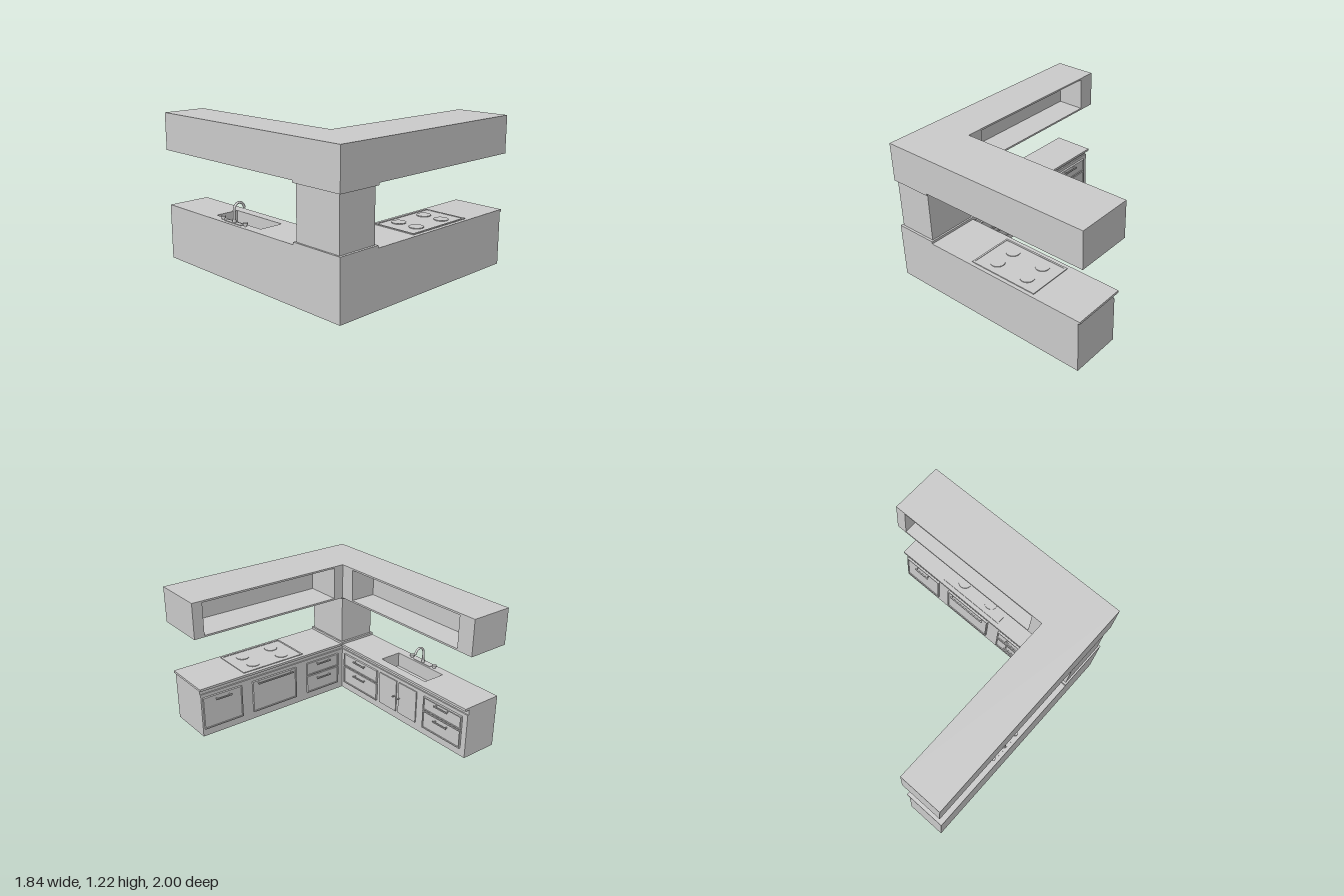
import * as THREE from 'three';

const mat = new THREE.MeshStandardMaterial({ color: 0xcccccc, side: THREE.DoubleSide });

function add(parent, name, geometry, x = 0, y = 0, z = 0) {
  const m = new THREE.Mesh(geometry, mat);
  m.name = name;
  m.position.set(x, y, z);
  parent.add(m);
  return m;
}

// Box given by its limits on each axis
function box(parent, name, x0, x1, y0, y1, z0, z1) {
  return add(parent, name, new THREE.BoxGeometry(x1 - x0, y1 - y0, z1 - z0),
    (x0 + x1) / 2, (y0 + y1) / 2, (z0 + z1) / 2);
}

function rectPath(x0, x1, y0, y1) {
  return new THREE.Path([[x0, y0], [x1, y0], [x1, y1], [x0, y1]].map(p => new THREE.Vector2(...p)));
}

// Upright slab from a floor plan of [x, z] points, with an optional [x0, x1, z0, z1] hole
function slab(parent, name, plan, y0, y1, hole) {
  const s = new THREE.Shape(plan.map(([x, z]) => new THREE.Vector2(x, -z)));
  if (hole) s.holes.push(rectPath(hole[0], hole[1], -hole[3], -hole[2]));
  const g = new THREE.ExtrudeGeometry(s, { depth: y1 - y0, bevelEnabled: false });
  g.rotateX(-Math.PI / 2);
  return add(parent, name, g, 0, y0, 0);
}

// L-shaped plan: end of the front arm, inner edges, end of the side arm
const ell = (xe, zi, xi, ze) => [[-0.92, 1], [xe, 1], [xe, zi], [xi, zi], [xi, ze], [-0.92, ze]];

// Flat rectangular frame facing local +z
function frame(parent, name, u0, u1, y0, y1, w, z, depth) {
  const s = new THREE.Shape(rectPath(u0, u1, y0, y1).getPoints());
  s.holes.push(rectPath(u0 + w, u1 - w, y0 + w, y1 - w));
  add(parent, name, new THREE.ExtrudeGeometry(s, { depth, bevelEnabled: false }), 0, 0, z);
}

// Bar handle on two posts
function handle(parent, u0, u1, y) {
  box(parent, 'handleBar', u0, u1, y - 0.005, y + 0.005, 0.03, 0.04);
  for (const u of [u0 + 0.012, u1 - 0.012])
    box(parent, 'handlePost', u - 0.004, u + 0.004, y - 0.004, y + 0.004, 0, 0.032);
}

// Framed front with a handle near its top
function framedFront(parent, name, u0, u1, y0, y1, handleY, handleLen) {
  box(parent, name, u0, u1, y0, y1, -0.005, 0.01);
  frame(parent, name + 'Frame', u0, u1, y0, y1, 0.01, 0, 0.018);
  const c = (u0 + u1) / 2;
  handle(parent, c - handleLen / 2, c + handleLen / 2, handleY);
}

function drawerPair(parent, u0, u1) {
  framedFront(parent, 'upperDrawer', u0, u1, 0.24, 0.36, 0.335, 0.15);
  framedFront(parent, 'lowerDrawer', u0, u1, 0.07, 0.232, 0.193, 0.15);
}

export function createModel() {
  const model = new THREE.Group();
  model.name = 'cornerKitchen';

  // Base cabinet and worktop, open above the sink basin
  const sink = [-0.84, -0.64, -0.45, 0.09];
  const body = ell(0.885, 0.58, -0.59, -0.98);
  slab(model, 'baseCabinet', body, 0, 0.33);
  slab(model, 'baseCabinetTop', body, 0.33, 0.39, sink);
  slab(model, 'recessedStrip', ell(0.885, 0.592, -0.602, -0.98), 0.39, 0.435, sink);
  slab(model, 'worktop', ell(0.9, 0.555, -0.56, -0.98), 0.435, 0.455, sink);

  // Corner column between plinth and cap
  box(model, 'columnPlinth', -0.92, -0.555, 0.45, 0.475, 0.54, 1);
  box(model, 'column', -0.905, -0.57, 0.475, 0.895, 0.56, 0.98);
  box(model, 'columnCap', -0.92, -0.555, 0.893, 0.912, 0.54, 1);

  // Overhead cabinet with an open niche in each arm
  const top = ell(0.92, 0.535, -0.553, -1);
  const niched = [
    [-0.92, 1], [0.92, 1], [0.92, 0.535],
    [0.83, 0.535], [0.83, 0.85], [-0.46, 0.85], [-0.46, 0.535],
    [-0.553, 0.535],
    [-0.553, 0.4], [-0.79, 0.4], [-0.79, -0.85], [-0.553, -0.85],
    [-0.553, -1], [-0.92, -1],
  ];
  slab(model, 'overheadFloor', top, 0.91, 0.925);
  slab(model, 'overheadWalls', niched, 0.925, 1.2);
  slab(model, 'overheadTop', top, 1.2, 1.215);

  // Fronts of the side arm, facing +x (local u = -z)
  const side = new THREE.Group();
  side.name = 'sideFronts';
  side.position.x = -0.59;
  side.rotation.y = Math.PI / 2;
  drawerPair(side, -0.535, -0.08);
  drawerPair(side, 0.505, 0.93);
  for (const [u0, u1, knob] of [[-0.045, 0.17, 0.155], [0.2, 0.415, 0.215]]) {
    box(side, 'cupboardDoor', u0, u1, 0.07, 0.36, -0.005, 0.01);
    const k = add(side, 'doorKnob', new THREE.CylinderGeometry(0.006, 0.006, 0.03, 12), knob, 0.215, 0.025);
    k.rotation.x = Math.PI / 2;
  }
  model.add(side);

  // Fronts of the front arm, facing -z (local u = -x)
  const back = new THREE.Group();
  back.name = 'rearFronts';
  back.position.z = 0.58;
  back.rotation.y = Math.PI;
  drawerPair(back, 0.18, 0.53);
  framedFront(back, 'ovenDoor', -0.39, 0.06, 0.07, 0.36, 0.338, 0.36);
  framedFront(back, 'dishwasherDoor', -0.87, -0.5, 0.07, 0.36, 0.325, 0.15);
  model.add(back);

  // Hob with four round plates
  const hob = new THREE.Group();
  hob.name = 'hob';
  box(hob, 'hobPlate', -0.15, 0.46, 0.45, 0.459, 0.59, 0.97);
  const rim = new THREE.Group();
  rim.name = 'hobRim';
  rim.rotation.x = -Math.PI / 2;
  frame(rim, 'rim', -0.15, 0.46, -0.97, -0.59, 0.015, 0.455, 0.007);
  hob.add(rim);
  for (const x of [0.01, 0.305])
    for (const z of [0.69, 0.86])
      add(hob, 'burner', new THREE.CylinderGeometry(0.056, 0.056, 0.008, 32), x, 0.461, z);
  model.add(hob);

  // Tap with curved spout and two knobs
  const tap = new THREE.Group();
  tap.name = 'tap';
  tap.position.set(-0.875, 0.455, -0.18);
  box(tap, 'tapPlate', -0.018, 0.018, 0, 0.005, -0.1, 0.1);
  const spout = new THREE.CatmullRomCurve3([
    [0, 0, 0], [0, 0.07, 0], [0.005, 0.12, 0], [0.035, 0.149, 0],
    [0.075, 0.142, 0], [0.1, 0.105, 0],
  ].map(p => new THREE.Vector3(...p)));
  add(tap, 'spout', new THREE.TubeGeometry(spout, 24, 0.01, 12, false));
  add(tap, 'spoutBase', new THREE.CylinderGeometry(0.014, 0.016, 0.03, 20), 0, 0.015, 0);
  for (const s of [-1, 1]) {
    add(tap, 'tapStem', new THREE.CylinderGeometry(0.01, 0.012, 0.02, 16), 0, 0.01, s * 0.135);
    add(tap, 'tapKnob', new THREE.CylinderGeometry(0.019, 0.019, 0.016, 20), 0, 0.02, s * 0.135);
  }
  model.add(tap);

  return model;
}
